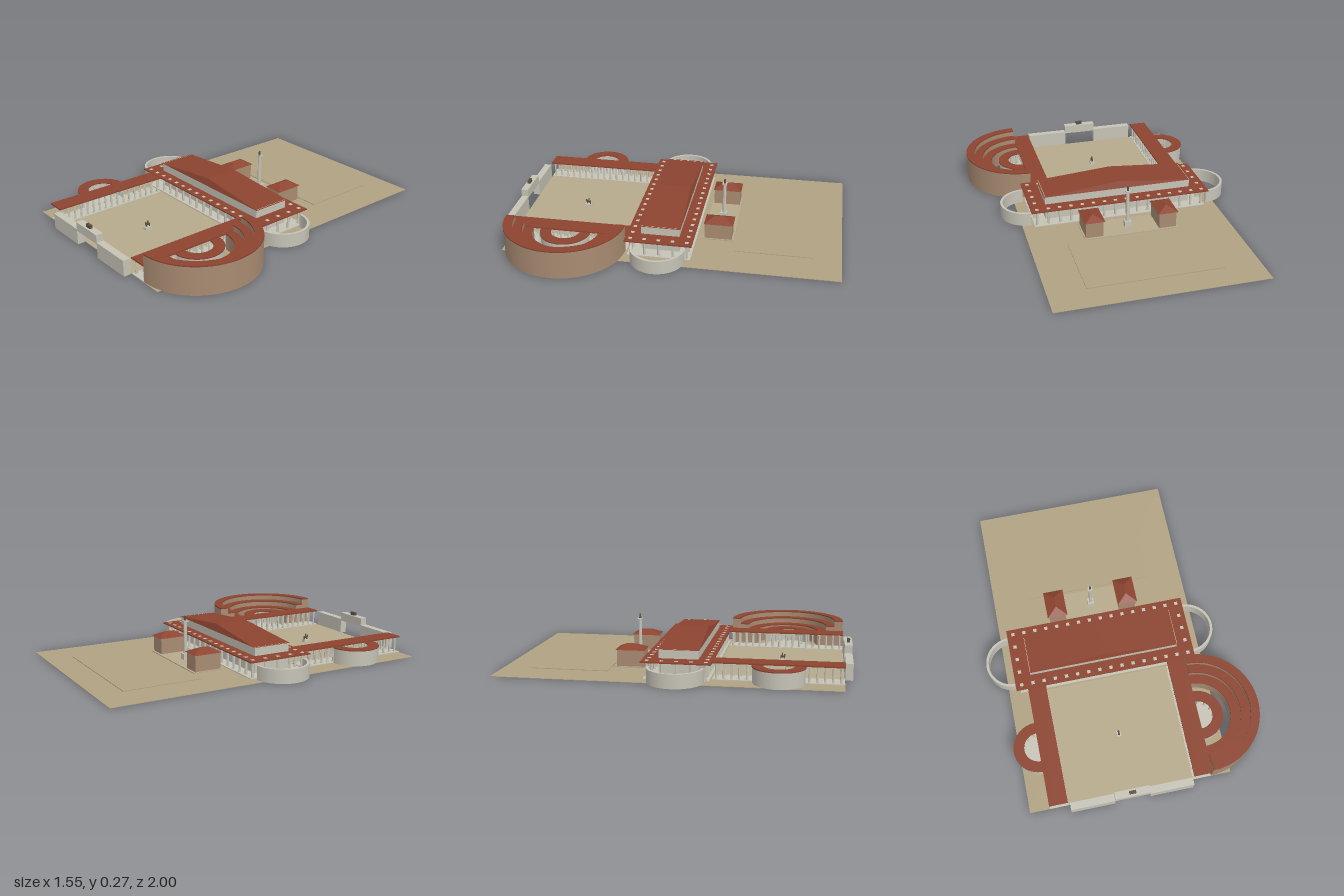
import * as THREE from 'three';
import { mergeGeometries } from 'three/addons/utils/BufferGeometryUtils.js';

const mat = (color) => new THREE.MeshStandardMaterial({ color, side: THREE.DoubleSide, flatShading: true });

export function createModel() {
  const model = new THREE.Group();
  const earth = mat(0xb0a283), paving = mat(0xb6aa8c), stone = mat(0xc6c3b6);
  const tile = mat(0x8c4430), brick = mat(0xa88b72), bronze = mat(0x5c5040);
  const CX = -0.065; // axis of symmetry of the complex

  function add(name, geo, material, parent = model) {
    const m = new THREE.Mesh(geo, material);
    m.name = name;
    parent.add(m);
    return m;
  }
  function group(name) {
    const g = new THREE.Group();
    g.name = name;
    model.add(g);
    return g;
  }
  // box given by its limits on each axis
  const span = (x0, x1, y0, y1, z0, z1) =>
    new THREE.BoxGeometry(x1 - x0, y1 - y0, z1 - z0)
      .translate((x0 + x1) / 2, (y0 + y1) / 2, (z0 + z1) / 2);

  // half ring (or half disc) bulging towards side * x
  function halfRing(cx, cz, rOut, rIn, y0, y1, side) {
    const s = new THREE.Shape();
    const a = side > 0 ? -Math.PI / 2 : Math.PI / 2;
    s.absarc(0, 0, rOut, a, a + Math.PI, false);
    if (rIn > 0) s.absarc(0, 0, rIn, a + Math.PI, a, true);
    return new THREE.ExtrudeGeometry(s, { depth: y1 - y0, bevelEnabled: false, curveSegments: 32 })
      .rotateX(-Math.PI / 2).translate(cx, y0, cz);
  }

  // hipped roof with its ridge along z
  function hipRoof(w, d, h, r) {
    const a = [-w, 0, -d], b = [w, 0, -d], c = [w, 0, d], e = [-w, 0, d], p = [0, h, -r], q = [0, h, r];
    const faces = [b, p, q, b, q, c, e, q, p, e, p, a, c, q, e, a, p, b, a, b, c, a, c, e];
    const g = new THREE.BufferGeometry();
    g.setAttribute('position', new THREE.Float32BufferAttribute(faces.flat(), 3));
    g.computeVertexNormals();
    return g;
  }

  // merged columns with square base and capital
  function columns(points, y0, y1, r) {
    const parts = [];
    for (const [x, z] of points) {
      parts.push(new THREE.CylinderGeometry(r * 0.85, r, y1 - y0, 8).translate(x, (y0 + y1) / 2, z));
      parts.push(span(x - r * 1.3, x + r * 1.3, y0, y0 + 0.006, z - r * 1.3, z + r * 1.3));
      parts.push(span(x - r * 1.3, x + r * 1.3, y1 - 0.009, y1, z - r * 1.3, z + r * 1.3));
    }
    return mergeGeometries(parts);
  }

  // ground and paved areas
  add('ground', span(-0.67, 0.54, 0, 0.003, -1, 0.955), earth);
  add('plazaFloor', span(-0.44, 0.31, 0.001, 0.005, 0.235, 0.955), paving);
  add('templePlatform', span(-0.46, 0.325, 0.001, 0.007, -0.84, -0.38), earth);
  add('columnCourtFloor', span(-0.35, 0.215, 0.001, 0.008, -0.365, -0.18), paving);

  // great hall: core, colonnade, aisle roof and upper roof
  const hall = group('greatHall');
  add('hallFloor', span(-0.60, 0.47, 0.001, 0.008, -0.145, 0.225), stone, hall);
  add('hallCore', span(-0.52, 0.39, 0.003, 0.158, -0.07, 0.155), stone, hall);
  add('aisleRoof', span(-0.62, 0.487, 0.1, 0.107, -0.155, 0.237), tile, hall);
  const ring = [];
  const nx = 16, nz = 5, x0 = -0.583, x1 = 0.45, z0 = -0.123, z1 = 0.206;
  for (let i = 0; i < nx; i++) {
    const x = x0 + (x1 - x0) * i / (nx - 1);
    ring.push([x, z0], [x, z1]);
  }
  for (let j = 1; j < nz - 1; j++) {
    const z = z0 + (z1 - z0) * j / (nz - 1);
    ring.push([x0, z], [x1, z]);
  }
  add('hallColumns', columns(ring, 0.003, 0.1085, 0.0077), stone, hall);
  add('upperRoof', hipRoof(0.463, 0.118, 0.043, 0.104), tile, hall).position.set(CX, 0.157, 0.041);

  // open curved walls at both ends of the hall
  for (const side of [-1, 1]) {
    const cx = side < 0 ? -0.618 : 0.485;
    add('hallApse', halfRing(cx, 0.042, 0.158, 0.143, 0.003, 0.084, side), stone, hall);
  }

  // porticoes with their curved recesses
  for (const side of [-1, 1]) {
    const p = group(side < 0 ? 'rightPortico' : 'leftPortico');
    const inner = CX + side * 0.375, outer = CX + side * 0.485;
    const lo = Math.min(inner, outer), hi = Math.max(inner, outer);
    add('porticoRoof', span(lo, hi, 0.097, 0.105, 0.235, 0.955), tile, p);
    add('porticoFloor', span(lo, hi, 0.001, 0.008, 0.235, 0.955), stone, p);
    const pts = [];
    for (let i = 0; i < 17; i++) {
      const z = 0.255 + i * 0.0425;
      pts.push([inner + side * 0.015, z], [outer - side * 0.02, z]);
    }
    add('porticoColumns', columns(pts, 0.005, 0.099, 0.006), stone, p);
    add('recessFloor', halfRing(outer, 0.6, 0.14, 0, 0.001, 0.008, side), stone, p);
    add('recessWall', halfRing(outer, 0.6, 0.144, 0.13, 0.003, 0.094, side), stone, p);
    add('recessRoof', halfRing(outer, 0.6, 0.148, 0.085, 0.092, 0.098, side), tile, p);
    const arc = [];
    for (let i = 0; i < 7; i++) {
      const t = (i + 0.5) / 7 * Math.PI - Math.PI / 2;
      arc.push([outer + side * 0.095 * Math.cos(t), 0.6 + 0.095 * Math.sin(t)]);
    }
    add('recessColumns', columns(arc, 0.005, 0.094, 0.005), stone, p);
  }

  // terraced curved market block
  const market = group('market');
  [[0.355, 0.303, 0.17], [0.303, 0.25, 0.135], [0.25, 0.195, 0.1]].forEach(([ro, ri, h]) => {
    add('marketTier', halfRing(0.42, 0.598, ro, ri, 0, h - 0.005, 1), brick, market);
    add('marketTierRoof', halfRing(0.42, 0.598, ro, ri, h - 0.005, h + 0.002, 1), tile, market);
  });

  // front wall and gateway
  const gate = group('frontGate');
  add('wallRight', span(-0.43, -0.17, 0, 0.095, 0.957, 1), stone, gate);
  add('wallLeft', span(0.04, 0.3, 0, 0.095, 0.957, 1), stone, gate);
  add('gateAttic', span(-0.17, 0.04, 0.086, 0.14, 0.957, 1), stone, gate);
  add('gateStatue', span(CX - 0.02, CX + 0.02, 0.14, 0.16, 0.97, 0.987), bronze, gate);

  // mounted statue in the plaza
  const statue = group('plazaStatue');
  add('plinth', span(CX - 0.013, CX + 0.013, 0.003, 0.022, 0.577, 0.617), stone, statue);
  add('horseBody', span(CX - 0.005, CX + 0.005, 0.032, 0.042, 0.582, 0.608), bronze, statue);
  add('horseHead', span(CX - 0.003, CX + 0.003, 0.038, 0.052, 0.604, 0.612), bronze, statue);
  for (const sx of [-1, 1]) for (const z of [0.585, 0.605])
    add('horseLeg', span(CX + sx * 0.004 - 0.0015, CX + sx * 0.004 + 0.0015, 0.022, 0.034, z - 0.002, z + 0.002), bronze, statue);
  add('rider', new THREE.CylinderGeometry(0.003, 0.005, 0.018, 8).translate(CX, 0.05, 0.594), bronze, statue);

  // pair of libraries
  for (const cx of [-0.29, 0.155]) {
    const lib = group('library');
    add('libraryWalls', span(cx - 0.052, cx + 0.052, 0.003, 0.106, -0.352, -0.19), brick, lib);
    add('libraryRoof', hipRoof(0.062, 0.087, 0.03, 0.03), tile, lib).position.set(cx, 0.105, -0.273);
  }

  // tall monument column with figure on top
  const monument = group('monumentColumn');
  const mz = -0.273;
  add('pedestal', span(CX - 0.02, CX + 0.02, 0.005, 0.045, mz - 0.02, mz + 0.02), stone, monument);
  add('shaft', new THREE.CylinderGeometry(0.0095, 0.011, 0.195, 16).translate(CX, 0.1425, mz), stone, monument);
  add('capital', span(CX - 0.014, CX + 0.014, 0.236, 0.244, mz - 0.014, mz + 0.014), stone, monument);
  add('figure', new THREE.CylinderGeometry(0.005, 0.007, 0.027, 8).translate(CX, 0.257, mz), bronze, monument);

  return model;
}
